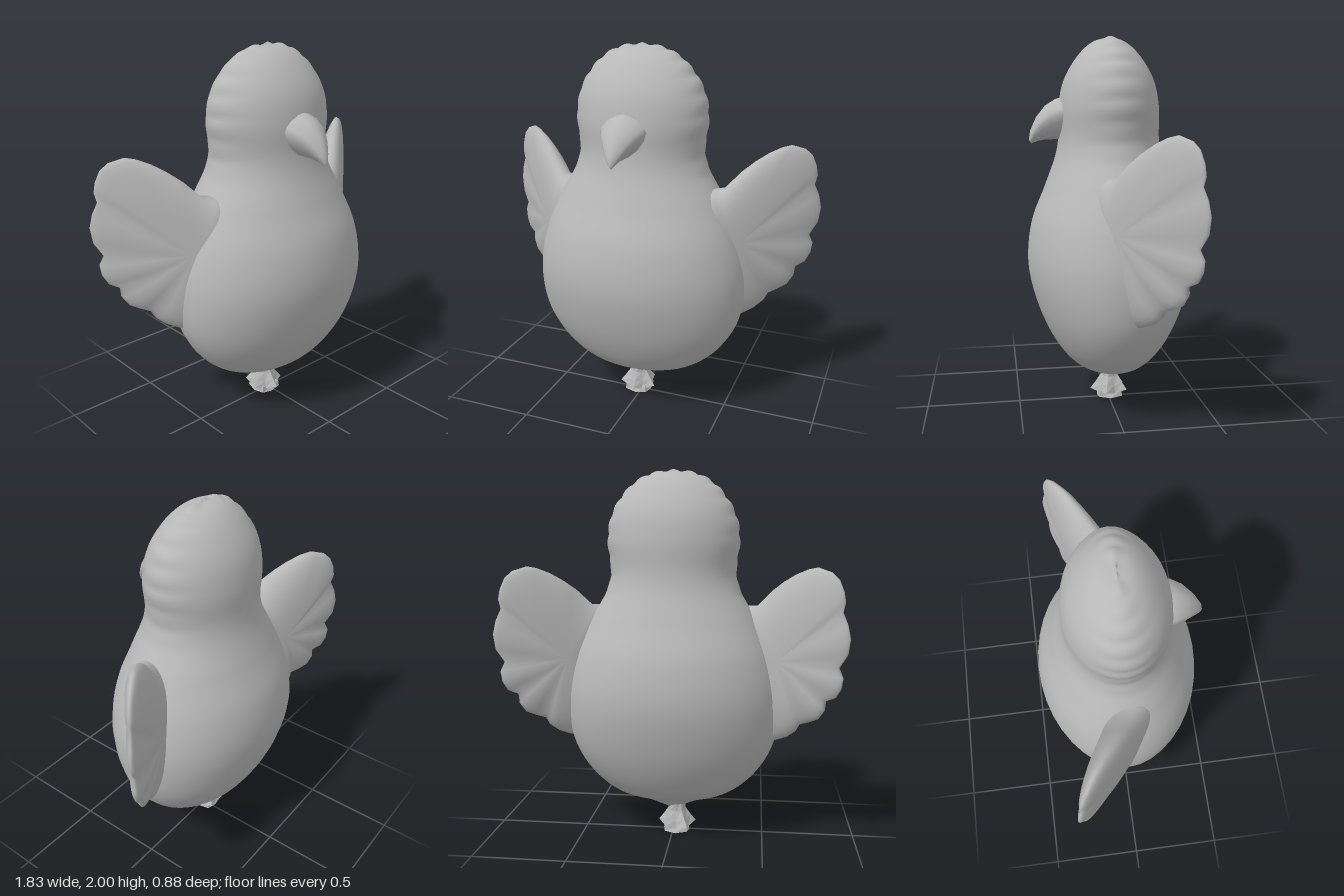
import * as THREE from 'three';
import { mergeVertices } from 'three/addons/utils/BufferGeometryUtils.js';

const V = (x, y, z) => new THREE.Vector3(x, y, z);

// Skin closed rings of points; rings run clockwise seen from the last ring
function loft(rings) {
  const n = rings[0].length, index = [];
  for (let i = 0; i < rings.length - 1; i++) {
    for (let j = 0; j < n; j++) {
      const a = i * n + j, b = i * n + (j + 1) % n;
      index.push(a, a + n, b, b, a + n, b + n);
    }
  }
  const geo = new THREE.BufferGeometry().setFromPoints(rings.flat());
  geo.setIndex(index);
  const merged = mergeVertices(geo, 1e-5);
  merged.computeVertexNormals();
  return merged;
}

function ring(n, fn) {
  return Array.from({ length: n }, (_, j) => fn((j / n) * Math.PI * 2));
}

// Body and head: elliptical rings, with a puckered seam round the head
function bodyGeometry() {
  const profile = new THREE.CatmullRomCurve3([ // half width, height, half depth
    V(0.035, 0.14, 0.035), V(0.16, 0.188, 0.09), V(0.33, 0.25, 0.21), V(0.46, 0.36, 0.3),
    V(0.56, 0.54, 0.385), V(0.585, 0.78, 0.44), V(0.54, 1.0, 0.42), V(0.45, 1.2, 0.345),
    V(0.355, 1.37, 0.285), V(0.335, 1.46, 0.27), V(0.35, 1.62, 0.268), V(0.325, 1.76, 0.24),
    V(0.24, 1.89, 0.165), V(0.13, 1.963, 0.085), V(0, 1.985, 0),
  ]);
  const steps = 130, length = profile.getLength();
  return loft(profile.getSpacedPoints(steps).map((p, i) => {
    const pucker = Math.abs(Math.sin((i / steps) * length / 0.11 * Math.PI));
    const amount = 0.022 * pucker * THREE.MathUtils.smoothstep(p.y, 1.25, 1.45);
    return ring(40, (a) => {
      const k = 1 + amount * Math.abs(Math.cos(a)) ** 8 * (1 + (p.y > 1.6 ? 0.3 : 0));
      return V(p.x * Math.cos(a) * k, 1.55 + (p.y - 1.55) * k, p.z * Math.sin(a));
    });
  }));
}

// Wing: an inflated pad with a lobed outline, swept backwards
function wingGeometry(side) {
  const outline = [ // x, y, puff (low between feathers)
    [0.36, 1.24, 1], [0.41, 1.275, 1], [0.455, 1.277, 1], [0.53, 1.36, 1], [0.59, 1.41, 1],
    [0.65, 1.45, 1], [0.71, 1.478, 1], [0.755, 1.488, 1], [0.82, 1.465, 1], [0.855, 1.43, 1],
    [0.878, 1.37, 1], [0.886, 1.32, 0.9], [0.876, 1.27, 0.65], [0.9, 1.21, 0.95], [0.914, 1.14, 1],
    [0.905, 1.06, 0.95], [0.867, 0.99, 0.65], [0.887, 0.94, 0.95], [0.88, 0.885, 1],
    [0.855, 0.835, 0.95], [0.81, 0.81, 0.65], [0.805, 0.76, 0.95], [0.775, 0.71, 1],
    [0.73, 0.685, 0.9], [0.685, 0.665, 0.65], [0.665, 0.625, 0.95], [0.62, 0.585, 1],
    [0.56, 0.555, 0.9], [0.46, 0.55, 1], [0.4, 0.7, 1], [0.36, 0.95, 1], [0.34, 1.12, 1],
  ];
  const steps = 20, rings = [];
  for (let i = 0; i <= steps; i++) {
    const phi = (i / steps - 0.5) * Math.PI;
    const s = Math.max(0, Math.cos(phi)) ** 0.7;
    rings.push(outline.map(([ox, oy, puff]) => {
      const x = 0.55 + (ox - 0.55) * s, y = 1.0 + (oy - 1.0) * s;
      const thick = THREE.MathUtils.mapLinear(x, 0.4, 0.9, 0.14, 0.055);
      const groove = 1 - (1 - puff) * s * s;
      return V(side * x, y, -0.64 * (x - 0.45) + thick * groove * Math.sin(phi));
    }));
  }
  return loft(side > 0 ? rings : rings.reverse());
}

// Beak: diamond sections hooking down to the tip
function beakGeometry() {
  const sections = [ // top y, top z, bottom y, bottom z, half width
    [1.675, 0.25, 1.45, 0.2, 0.122], [1.665, 0.285, 1.452, 0.25, 0.118],
    [1.63, 0.34, 1.452, 0.3, 0.095], [1.57, 0.388, 1.45, 0.345, 0.062],
    [1.5, 0.42, 1.443, 0.38, 0.032], [1.45, 0.428, 1.434, 0.405, 0.012], [1.43, 0.415, 1.43, 0.415, 0],
  ];
  return loft(sections.map(([ty, tz, by, bz, w]) => ring(16, (a) => {
    const c = Math.cos(a), up = -Math.sin(a);
    const t = 0.62 + (up > 0 ? 0.38 : 0.62) * Math.sign(up) * Math.abs(up) ** 1.25;
    return V(w * Math.sign(c) * Math.abs(c) ** 1.25, by + (ty - by) * t, bz + (tz - bz) * t);
  })));
}

// Tied neck: pleated skirt of crumpled skin
function pleatGeometry(levels, pleats, phase) {
  const geo = loft(levels.map(([y, r, fold]) => ring(pleats * 2, (a) => {
    const wave = Math.cos(pleats * a);
    return V(r * (1 + fold * wave) * Math.cos(a + phase), y + fold * 0.04 * wave, r * (1 + fold * wave) * Math.sin(a + phase));
  }))).toNonIndexed();
  geo.computeVertexNormals();
  return geo;
}

export function createModel() {
  const model = new THREE.Group();
  const skin = new THREE.MeshStandardMaterial({ color: 0xb8b8b8, side: THREE.DoubleSide });
  skin.name = 'balloon grey';

  const add = (name, geometry) => {
    const mesh = new THREE.Mesh(geometry, skin);
    mesh.name = name;
    model.add(mesh);
    return mesh;
  };

  add('bodyAndHead', bodyGeometry());
  add('leftWing', wingGeometry(1));
  add('rightWing', wingGeometry(-1));
  add('beak', beakGeometry());

  const knot = add('knot', pleatGeometry([[0.035, 0.09, 0.22], [0.075, 0.07, 0.15], [0.12, 0.048, 0.08], [0.17, 0.045, 0]], 5, 0.3));
  const frill = add('knotFrill', pleatGeometry([[0.005, 0.08, 0.12], [0.035, 0.07, 0.2], [0.06, 0.03, 0.1]], 4, 0.8));
  for (const part of [knot, frill]) part.position.set(-0.02, 0, -0.01);
  return model;
}
